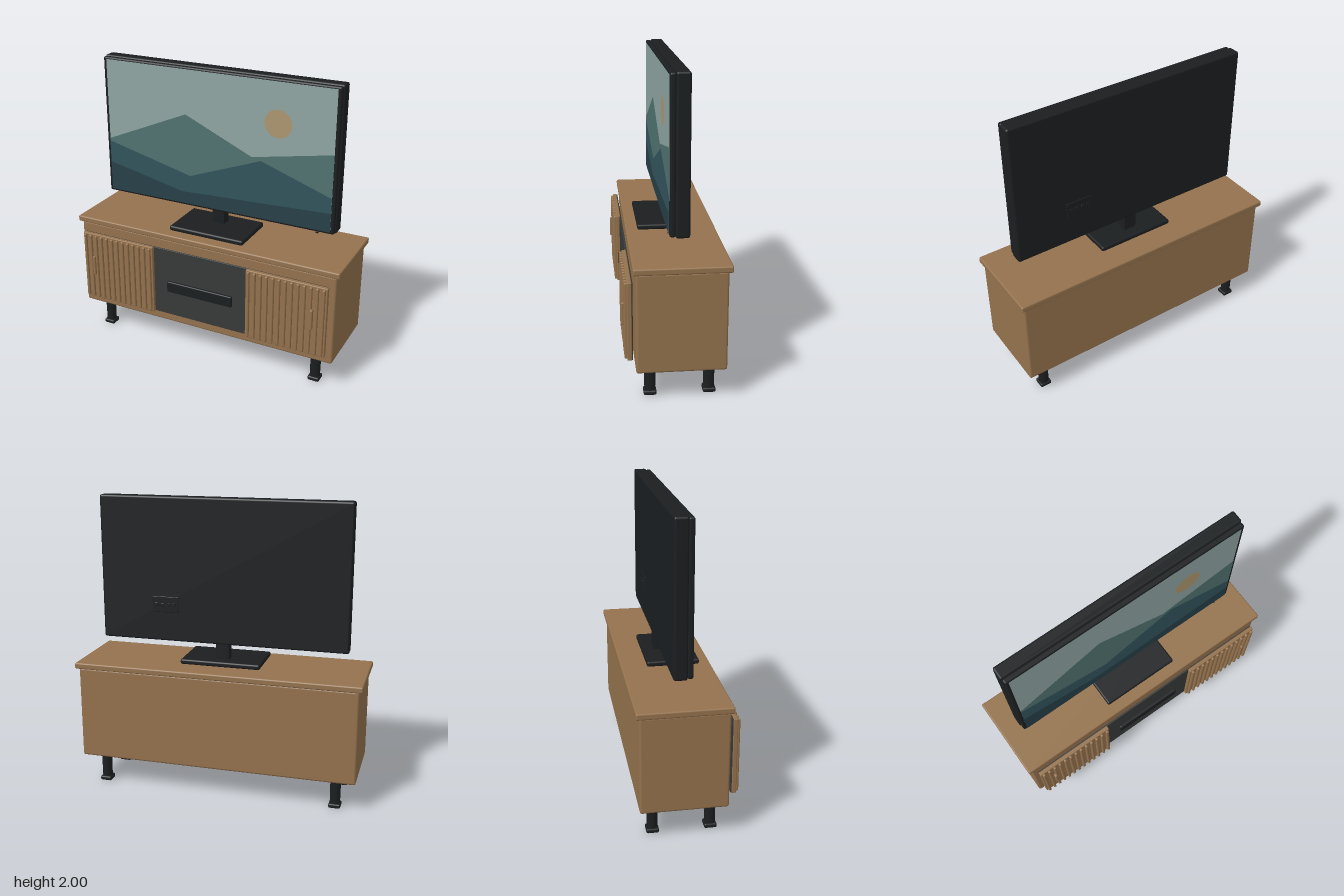
import * as THREE from 'three';
import { RoundedBoxGeometry } from 'three/addons/geometries/RoundedBoxGeometry.js';

const mat = (color) => new THREE.MeshStandardMaterial({ color });
const wood = mat(0x94724d);
const black = mat(0x1b1e20);
const darkPanel = mat(0x363a39);

export function createModel() {
  const model = new THREE.Group();

  const add = (parent, name, geometry, material) => {
    const mesh = new THREE.Mesh(geometry, material);
    mesh.name = name;
    parent.add(mesh);
    return mesh;
  };

  // Rounded box given by its [min, max] along each axis
  const block = (parent, name, [x0, x1], [y0, y1], [z0, z1], radius, material) => {
    const g = new RoundedBoxGeometry(x1 - x0, y1 - y0, z1 - z0, 2, radius);
    const mesh = add(parent, name, g, material);
    mesh.position.set((x0 + x1) / 2, (y0 + y1) / 2, (z0 + z1) / 2);
    return mesh;
  };

  const group = (name) => {
    const g = new THREE.Group();
    g.name = name;
    model.add(g);
    return g;
  };

  // Cabinet carcass, top board and dark front panel
  const cabinet = group('cabinet');
  block(cabinet, 'carcass', [-0.955, 0.955], [0.205, 0.845], [-0.307, 0.247], 0.015, wood);
  block(cabinet, 'topBoard', [-0.977, 0.977], [0.843, 0.885], [-0.328, 0.263], 0.01, wood);
  block(cabinet, 'frontPanel', [-0.913, 0.913], [0.28, 0.78], [0.262, 0.274], 0.003, darkPanel);
  block(cabinet, 'soundbar', [-0.247, 0.247], [0.465, 0.545], [0.24, 0.291], 0.008, black);

  // Slatted doors with upright handles
  for (const side of [-1, 1]) {
    const door = group(side > 0 ? 'leftDoor' : 'rightDoor');
    const c = side * 0.635;
    block(door, 'doorPanel', [c - 0.283, c + 0.283], [0.278, 0.782], [0.268, 0.297], 0.006, wood);
    for (let i = 0; i < 13; i++) {
      const x = c + (i - 6) * 0.0435;
      block(door, 'slat', [x - 0.01, x + 0.01], [0.285, 0.775], [0.29, 0.314], 0.008, wood);
    }
    const h = side * 0.823;
    block(door, 'handle', [h - 0.01, h + 0.01], [0.473, 0.62], [0.3, 0.328], 0.008, wood);
  }

  // Round legs on square feet
  const legs = group('legs');
  for (const x of [-0.815, 0.815]) {
    for (const z of [0.155, -0.214]) {
      const leg = add(legs, 'leg', new THREE.CylinderGeometry(0.036, 0.034, 0.195, 24), black);
      leg.position.set(x, 0.1175, z);
      block(legs, 'foot', [x - 0.04, x + 0.04], [0, 0.03], [z - 0.04, z + 0.04], 0.01, black);
    }
  }

  // Television stand and housing
  const tv = group('television');
  block(tv, 'standBase', [-0.275, 0.275], [0.885, 0.92], [-0.16, 0.187], 0.012, black);
  block(tv, 'standNeck', [-0.046, 0.046], [0.91, 1.04], [-0.082, -0.006], 0.006, black);
  block(tv, 'backHousing', [-0.852, 0.852], [1.02, 2], [-0.086, 0.001], 0.014, black);
  block(tv, 'bezel', [-0.845, 0.845], [1.026, 1.994], [0, 0.036], 0.012, black);
  block(tv, 'statusLight', [0.725, 0.74], [1.017, 1.03], [0.024, 0.038], 0.003, black);

  // Connector plate with a row of ports on the back
  block(tv, 'connectorPlate', [0.305, 0.49], [1.22, 1.33], [-0.091, -0.08], 0.004, black);
  for (let i = 0; i < 4; i++) {
    const x = 0.335 + i * 0.042;
    block(tv, 'port', [x - 0.012, x + 0.012], [1.262, 1.286], [-0.096, -0.085], 0.003, black);
  }

  // Landscape on the screen: stacked flat layers
  const W = 0.822, BOTTOM = 1.042;
  const layer = (name, ridge, z, color) => {
    const pts = [[-W, BOTTOM], [W, BOTTOM], ...[...ridge].reverse()];
    const shape = new THREE.Shape(pts.map(([x, y]) => new THREE.Vector2(x, y)));
    add(tv, name, new THREE.ShapeGeometry(shape), mat(color)).position.z = z;
  };
  layer('screenSky', [[-W, 1.98], [W, 1.98]], 0.037, 0x8fa5a2);
  layer('farHills', [[-W, 1.42], [-0.22, 1.677], [0.265, 1.46], [W, 1.565]], 0.0385, 0x507371);
  layer('middleHills', [[-W, 1.403], [-0.188, 1.248], [0.33, 1.444], [W, 1.274]], 0.0395, 0x32545c);
  layer('nearHills', [[-W, 1.248], [-0.25, 1.126], [W, 1.172]], 0.0405, 0x263f48);
  add(tv, 'sun', new THREE.CircleGeometry(0.094, 40), mat(0xac9670)).position.set(0.443, 1.708, 0.0385);

  return model;
}
